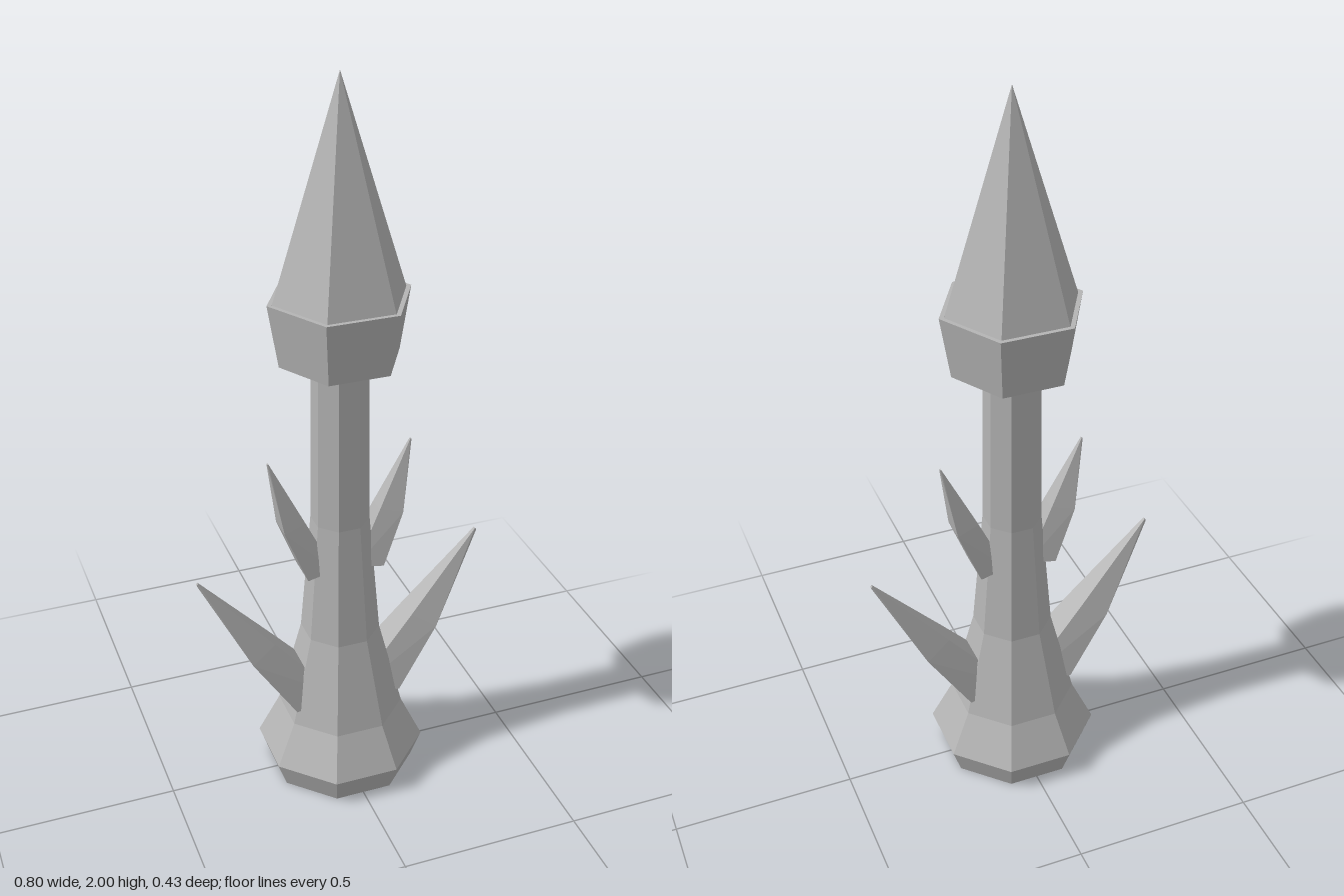
import * as THREE from 'three';
import { ConvexGeometry } from 'three/addons/geometries/ConvexGeometry.js';

const HEX_COS = Math.cos(Math.PI / 8);

// Faceted solid of revolution from [radius, y] pairs, listed bottom to top
function faceted(profile, sides, phiStart) {
  const points = profile.map(([r, y]) => new THREE.Vector2(r, y));
  const geometry = new THREE.LatheGeometry(points, sides, phiStart).toNonIndexed();
  geometry.computeVertexNormals();
  return geometry;
}

// Upswept thorn with a wide outer face and a narrower inner face.
// Each station is [outer x, outer y, outer half width, inner x, inner y, inner half width]
function thorn(stations, side) {
  const points = [];
  for (const [ox, oy, ow, ix, iy, iw] of stations) {
    for (const s of [-1, 1]) {
      points.push(new THREE.Vector3(side * ox, oy, s * ow));
      points.push(new THREE.Vector3(side * ix, iy, s * iw));
    }
  }
  return new ConvexGeometry(points);
}

export function createModel() {
  const model = new THREE.Group();
  model.name = 'spikedPost';
  const stone = new THREE.MeshStandardMaterial({ color: 0xb4b4b4 });
  stone.name = 'stone grey';

  const add = (name, geometry) => {
    const mesh = new THREE.Mesh(geometry, stone);
    mesh.name = name;
    model.add(mesh);
  };

  // Octagonal foot and tapering shaft, sized across the flats
  const shaft = [[0, 0], [0.19, 0], [0.215, 0.075], [0.16, 0.195], [0.1, 0.45],
    [0.073, 0.8], [0.068, 1.27], [0.068, 1.44]];
  add('shaft', faceted(shaft.map(([r, y]) => [r / HEX_COS, y]), 8, Math.PI / 8));

  // Hollow hexagonal collar, open underneath
  const collar = [[0.152, 1.27], [0.162, 1.27], [0.19, 1.44], [0.177, 1.44], [0.152, 1.27]];
  add('collar', faceted(collar, 6, Math.PI / 6));

  // Six-sided pointed head
  add('head', faceted([[0, 1.438], [0.177, 1.438], [0, 2]], 6, Math.PI / 6));

  // Two pairs of thorns, mirrored left and right
  const lower = [
    [0.152, 0.237, 0.072, 0.02, 0.25, 0.058],
    [0.268, 0.412, 0.053, 0.2, 0.455, 0.035],
    [0.402, 0.675, 0.004, 0.398, 0.68, 0.004],
  ];
  const upper = [
    [0.108, 0.65, 0.05, 0.03, 0.66, 0.04],
    [0.167, 0.8, 0.037, 0.105, 0.815, 0.025],
    [0.2, 1.0, 0.003, 0.197, 1.002, 0.003],
  ];
  for (const [side, label] of [[1, 'left'], [-1, 'right']]) {
    add(label + 'LowerThorn', thorn(lower, side));
    add(label + 'UpperThorn', thorn(upper, side));
  }
  return model;
}
